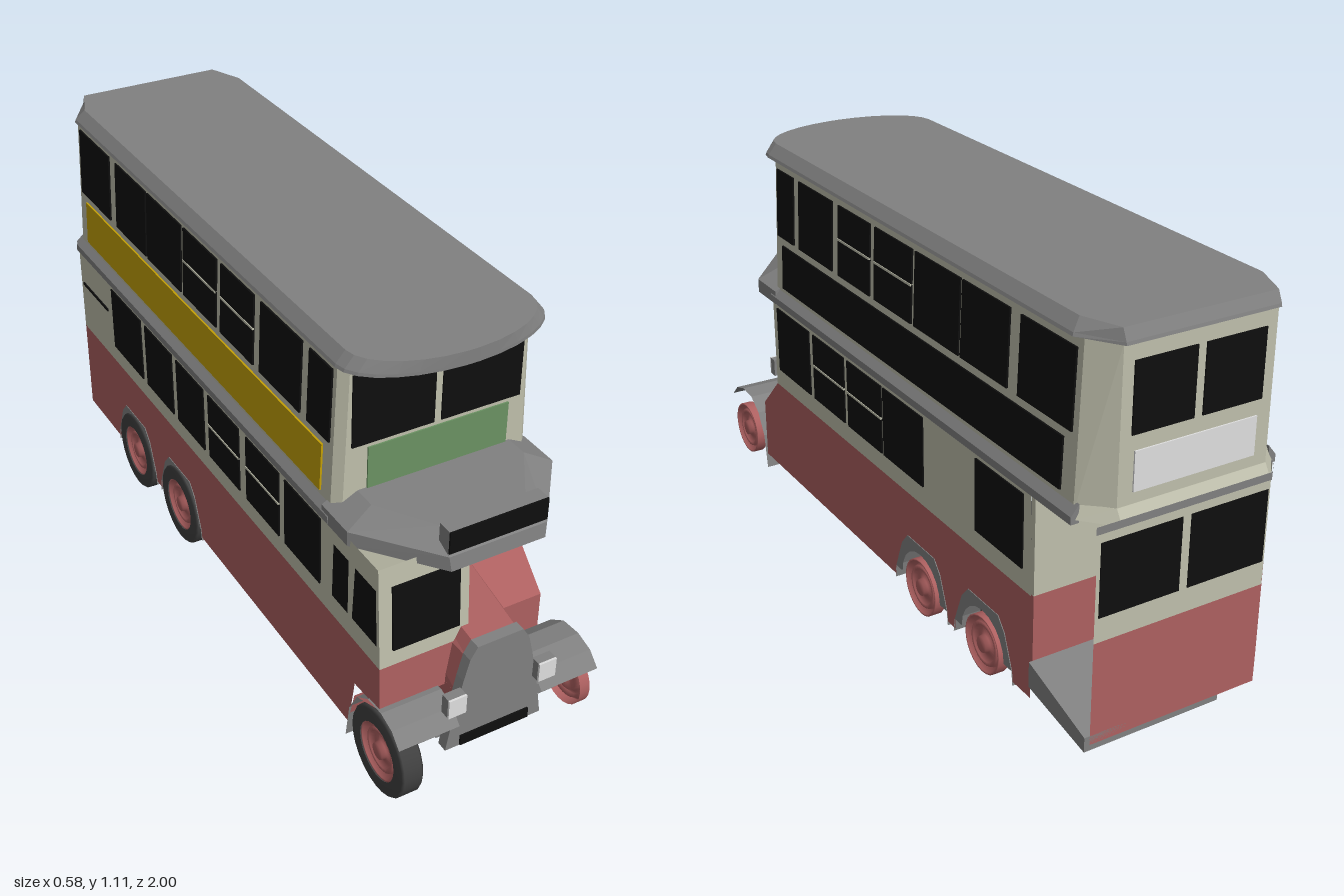
import * as THREE from 'three';

const paint = (name, color) => new THREE.MeshStandardMaterial({ name, color, side: THREE.DoubleSide });

export function createModel() {
  const bus = new THREE.Group();
  bus.name = 'doubleDeckerBus';
  const red = paint('red', 0xad6060), cream = paint('cream', 0xbebeab), grey = paint('grey', 0x808080);
  const black = paint('black', 0x0e0e0e), tyreGrey = paint('tyreGrey', 0x404040), green = paint('green', 0x6a9262);
  const yellow = paint('yellow', 0xc4a004), white = paint('lightGrey', 0xdedede);

  const add = (name, geo, mat) => {
    const m = new THREE.Mesh(geo, mat);
    m.name = name;
    bus.add(m);
    return m;
  };
  // box given by its limits on each axis
  const box = (name, mat, x0, x1, y0, y1, z0, z1) => {
    const m = add(name, new THREE.BoxGeometry(Math.abs(x1 - x0), Math.abs(y1 - y0), Math.abs(z1 - z0)), mat);
    m.position.set((x0 + x1) / 2, (y0 + y1) / 2, (z0 + z1) / 2);
    return m;
  };
  // flat-shaded skin over matching cross-sections
  const loft = (name, mat, rings, closed = true) => {
    const pos = [], tri = (...p) => p.forEach(v => pos.push(...v));
    const n = rings[0].length;
    for (let r = 0; r < rings.length - 1; r++) {
      for (let i = 0; i < (closed ? n : n - 1); i++) {
        const j = (i + 1) % n, A = rings[r], B = rings[r + 1];
        tri(A[i], A[j], B[j]);
        tri(A[i], B[j], B[i]);
      }
    }
    if (closed) {
      const lo = rings[0], hi = rings[rings.length - 1];
      for (let i = 1; i < n - 1; i++) {
        tri(lo[0], lo[i + 1], lo[i]);
        tri(hi[0], hi[i], hi[i + 1]);
      }
    }
    const g = new THREE.BufferGeometry();
    g.setAttribute('position', new THREE.Float32BufferAttribute(pos, 3));
    g.computeVertexNormals();
    return add(name, g, mat);
  };
  // symmetric plan outline at height y, from its +x half (front to back)
  const plan = (half, y) => [
    ...half.map(([x, z]) => [x, y, z]),
    ...half.slice().reverse().map(([x, z]) => [-x, y, z])];
  // sheet bent along a z-y path, spanning x0..x1
  const strip = (name, mat, path, x0, x1) =>
    loft(name, mat, [x0, x1].map(x => path.map(([z, y]) => [x, y, z])), false);
  // upright sheet along a plan path
  const wall = (name, mat, path, y0, y1) =>
    loft(name, mat, [y0, y1].map(y => path.map(([x, z]) => [x, y, z])), false);
  // flat z-y outline placed at x
  const sidePlate = (name, mat, pts, x, hole) => {
    const s = new THREE.Shape(pts.map(p => new THREE.Vector2(...p)));
    if (hole) s.holes.push(hole);
    const m = add(name, new THREE.ShapeGeometry(s).rotateY(-Math.PI / 2), mat);
    m.position.x = x;
  };

  // lower deck walls, notched for the rear wheels
  const W = 0.285, rearAxles = [-0.24, -0.55];
  const arch = [[-0.135, 0], [-0.1, 0.09], [-0.07, 0.125], [0.07, 0.125], [0.1, 0.09], [0.135, 0]];
  const notches = rearAxles.slice().reverse().flatMap(c =>
    [[c - 0.135, 0.09], ...arch.map(([z, y]) => [z + c, y + 0.12]), [c + 0.135, 0.09]]);
  sidePlate('leftSkirt', red,
    [[-0.765, 0.09], ...notches, [0.735, 0.09], [0.735, 0.27], [0.63, 0.375], [-0.76, 0.375]], W);
  sidePlate('rightSkirt', red,
    [[-0.92, 0.09], ...notches, [0.735, 0.09], [0.76, 0.24], [0.875, 0.25], [0.87, 0.375], [-0.92, 0.375]], -W);
  sidePlate('leftLowerWall', cream, [[-0.76, 0.375], [0.63, 0.375], [0.63, 0.66], [-0.755, 0.66]], W);
  sidePlate('rightLowerWall', cream, [[-0.92, 0.375], [0.87, 0.375], [0.85, 0.66], [-0.92, 0.66]], -W);
  const rear = [[-W, -0.92], [-0.21, -0.998], [0.275, -0.998]];
  wall('rearSkirt', red, rear, 0.1, 0.375);
  wall('rearWall', cream, rear, 0.375, 0.67);
  box('rearBulkheadPanel', red, -0.28, 0.28, 0.13, 0.375, -0.765, -0.75);
  box('rearBulkhead', cream, -0.28, 0.28, 0.375, 0.66, -0.765, -0.75);
  box('floor', tyreGrey, -0.21, 0.21, 0.12, 0.135, -0.76, 0.6);
  loft('rearPlatform', grey, [[-0.765, 0.125, 0.195], [-0.998, 0.085, 0.125]].map(([z, a, b]) =>
    [[-0.1, a, z], [0.29, a, z], [0.29, b, z], [-0.1, b, z]]));

  // bulkhead beside the bonnet
  box('frontBulkhead', cream, -0.28, W, 0.375, 0.66, 0.61, 0.63);
  strip('scuttle', red, [[0.63, 0.375], [0.735, 0.27], [0.735, 0.15]], 0, W);
  box('bulkheadWindowFrame', grey, -0.005, 0.25, 0.43, 0.615, 0.63, 0.637);
  box('bulkheadWindow', black, 0.008, 0.237, 0.452, 0.602, 0.635, 0.64);

  // driver's cab
  const cabX = -0.037;
  loft('cabFront', cream, [[[-W, 0.375, 0.87], [cabX, 0.375, 0.87]], [[-W, 0.66, 0.85], [cabX, 0.66, 0.85]]], false);
  strip('cabApron', red, [[0.87, 0.375], [0.875, 0.25], [0.76, 0.2], [0.735, 0.1]], -W, cabX);
  sidePlate('cabInnerPanel', red, [[0.63, 0.25], [0.875, 0.25], [0.87, 0.375], [0.63, 0.375]], cabX);
  sidePlate('cabInnerWall', cream, [[0.63, 0.375], [0.87, 0.375], [0.85, 0.66], [0.63, 0.66]], cabX);
  const cabWindow = box('cabWindow', black, -0.25, -0.065, 0.42, 0.602, 0.86, 0.866);
  cabWindow.rotation.x = -0.07;
  for (const x of [cabX + 0.003, -W - 0.003]) {
    sidePlate('cabSideWindow', black, [[0.745, 0.44], [0.858, 0.44], [0.848, 0.6], [0.755, 0.6]], x);
    sidePlate('cabQuarterWindow', black, [[0.65, 0.44], [0.725, 0.44], [0.725, 0.6], [0.655, 0.6]], x);
  }

  // bonnet and radiator
  const section = (z, pts) => pts.map(([x, y]) => [x, y, z]);
  loft('bonnet', red, [
    section(0.63, [[-0.1, 0.25], [0.16, 0.25], [0.12, 0.38], [0.09, 0.43], [-0.05, 0.43], [-0.09, 0.38]]),
    section(0.93, [[-0.1, 0.26], [0.1, 0.26], [0.083, 0.37], [0.06, 0.405], [-0.06, 0.405], [-0.08, 0.37]])]);
  box('engineCover', red, -0.1, 0.1, 0.15, 0.26, 0.7, 0.925);
  const radiatorHalf = [[0.14, 0.11], [0.125, 0.2], [0.1, 0.32], [0.085, 0.38], [0.065, 0.413]];
  const radiator = [...radiatorHalf, ...radiatorHalf.slice().reverse().map(([x, y]) => [-x, y])];
  loft('radiator', grey, [section(0.92, radiator), section(0.95, radiator)]);
  box('radiatorGrille', black, -0.1, 0.1, 0.113, 0.143, 0.95, 0.955);
  box('frontAxle', grey, -0.23, 0.23, 0.11, 0.145, 0.87, 0.9);
  box('crossMember', grey, -0.12, 0.12, 0.08, 0.11, 0.85, 0.88);

  // front canopy and destination box
  loft('frontCanopy', grey, [
    plan([[0.29, 0.72], [0.13, 0.915], [-0.13, 0.915], [-0.29, 0.72], [-0.29, 0.6], [0.29, 0.6]].slice(0, 2).reverse().concat([[0.29, 0.6]]), 0.642),
    plan([[0.135, 0.91], [0.29, 0.72], [0.29, 0.6]], 0.682),
    plan([[0.12, 0.84], [0.215, 0.7], [0.215, 0.6]], 0.72)]);
  box('destinationBox', grey, -0.135, 0.135, 0.67, 0.75, 0.865, 0.905);
  box('destinationBlind', black, -0.135, 0.135, 0.69, 0.75, 0.905, 0.91);

  // upper deck and roof
  const deck = w => [[w - 0.02, 0.637], [w, 0.615], [w, -0.905], [0.21, -0.975]];
  loft('upperDeck', cream, [plan(deck(0.276), 0.66), plan(deck(0.26), 1.08)]);
  const roof = (w, back) => {
    const pts = [];
    for (let i = 0; i <= 7; i++) {
      const a = (i + 0.3) / 7.3 * Math.PI / 2;
      pts.push([w * Math.sin(a), 0.63 + 0.135 * Math.cos(a)]);
    }
    return [...pts, [w, back + 0.1], [0.21, back]];
  };
  loft('roof', grey, [plan(roof(0.277, -0.985), 1.077), plan(roof(0.274, -0.983), 1.085), plan(roof(0.25, -0.97), 1.114)]);

  // window rows: [z front, z back]
  const upper = [[0.6, 0.495], [0.46, 0.255], [0.22, 0.04], [0.015, -0.18], [-0.195, -0.41], [-0.42, -0.625], [-0.67, -0.885]];
  const lowerLeft = [[0.6, 0.39], [0.365, 0.175], [0.155, -0.04], [-0.05, -0.26], [-0.515, -0.725]];
  const lowerRight = [[0.59, 0.41], [0.38, 0.2], [0.16, -0.02], [-0.05, -0.22], [-0.25, -0.43], [-0.46, -0.67]];
  for (const s of [1, -1]) {
    const upperPlate = (name, mat, z0, z1, y0, y1, out = 0.002) => {
      const x = s * (0.276 - 0.0381 * ((y0 + y1) / 2 - 0.66) + out);
      box(name, mat, x - 0.003, x + 0.003, y0, y1, z0, z1).rotation.z = s * 0.038;
    };
    upper.forEach(([a, b], i) => {
      upperPlate('upperWindow', black, a, b, 0.853, 1.05);
      if (i === 2 || i === 3) upperPlate('upperGlazingBar', cream, a, b, 0.953, 0.959, 0.004);
    });
    upperPlate('sidePanel', s > 0 ? black : yellow, 0.57, -0.855, 0.7, 0.83);
    (s > 0 ? lowerLeft : lowerRight).forEach(([a, b], i) => {
      box('lowerWindow', black, s * W, s * (W + 0.004), 0.432, 0.63, a, b);
      if (i === 1 || i === 2) box('lowerGlazingBar', cream, s * W, s * (W + 0.006), 0.533, 0.539, a, b);
    });
    // moulding between the decks
    loft('deckMoulding', grey, [[0.63, 0], [-0.92, 0]].map(([z]) =>
      [[s * 0.27, 0.645, z], [s * 0.292, 0.645, z], [s * 0.292, 0.665, z], [s * 0.27, 0.692, z]]));
    // front and rear glazing
    const c = s * 0.122;
    box('upperFrontWindow', black, c - 0.112, c + 0.112, 0.848, 1.045, 0.637, 0.641);
    box('upperRearWindow', black, s * 0.012, s * 0.18, 0.86, 1.035, -0.975, -0.979);
    box('lowerRearWindow', black, 0.03 + s * 0.012, 0.03 + s * 0.235, 0.44, 0.632, -0.998, -1);
  }
  box('rightVent', black, -W, -W - 0.004, 0.533, 0.541, -0.9, -0.71);
  box('frontPanel', green, -0.19, 0.203, 0.715, 0.836, 0.637, 0.641);
  box('rearPanel', white, -0.17, 0.17, 0.72, 0.82, -0.975, -0.979);
  wall('rearMoulding', grey, [[-0.29, -0.92], [-0.212, -1], [0.28, -1]], 0.655, 0.675);
  loft('rearLedge', cream, [plan([[0.276, -0.76], [0.28, -0.92], [0.21, -0.998]], 0.655), plan([[0.274, -0.76], [0.274, -0.905], [0.21, -0.976]], 0.69)]);

  // wheels, mudguards and lamps
  const rimProfile = [[0, 0.012], [0.022, 0.012], [0.024, 0], [0.045, -0.008], [0.05, 0.004], [0.06, 0.004], [0.065, -0.008], [0.075, 0.01], [0.08, 0.01], [0.08, -0.02]];
  const tyreProfile = [[0.078, -0.03], [0.115, -0.03], [0.12, -0.024], [0.12, 0.024], [0.115, 0.03], [0.078, 0.03]];
  const lathe = (pts, s) => new THREE.LatheGeometry(pts.map(p => new THREE.Vector2(...p)), 24)
    .toNonIndexed().rotateZ(-s * Math.PI / 2);
  for (const s of [1, -1]) {
    for (const z of [0.88, ...rearAxles]) {
      add('wheelRim', lathe(rimProfile, s), red).position.set(s * 0.278, 0.12, z);
      if (s < 0) add('tyre', lathe(tyreProfile, s), tyreGrey).position.set(-0.262, 0.12, z);
    }
    for (const z of rearAxles) {
      const outer = arch.map(([a, y]) => [a + z, y + 0.12]);
      const inner = [];
      for (let i = 0; i <= 10; i++) {
        const a = Math.PI * i / 10;
        inner.push([z + 0.1 * Math.cos(a), 0.12 + 0.1 * Math.sin(a)]);
      }
      sidePlate('rearMudguardLip', grey, [...outer, ...inner], s * 0.287);
      strip('rearMudguard', grey, [[z - 0.14, 0.08], ...outer, [z + 0.14, 0.08]], s * 0.287, s * 0.2);
    }
    strip('frontMudguard', grey,
      [[0.975, 0.205], [0.94, 0.24], [0.89, 0.255], [0.83, 0.25], [0.78, 0.215], [0.745, 0.15], [0.73, 0.045]], s * 0.12, s * 0.29);
    box('headlamp', grey, s * 0.105, s * 0.155, 0.245, 0.3, 0.945, 0.97);
    box('headlampLens', white, s * 0.105, s * 0.155, 0.245, 0.3, 0.97, 0.976);
  }
  return bus;
}
